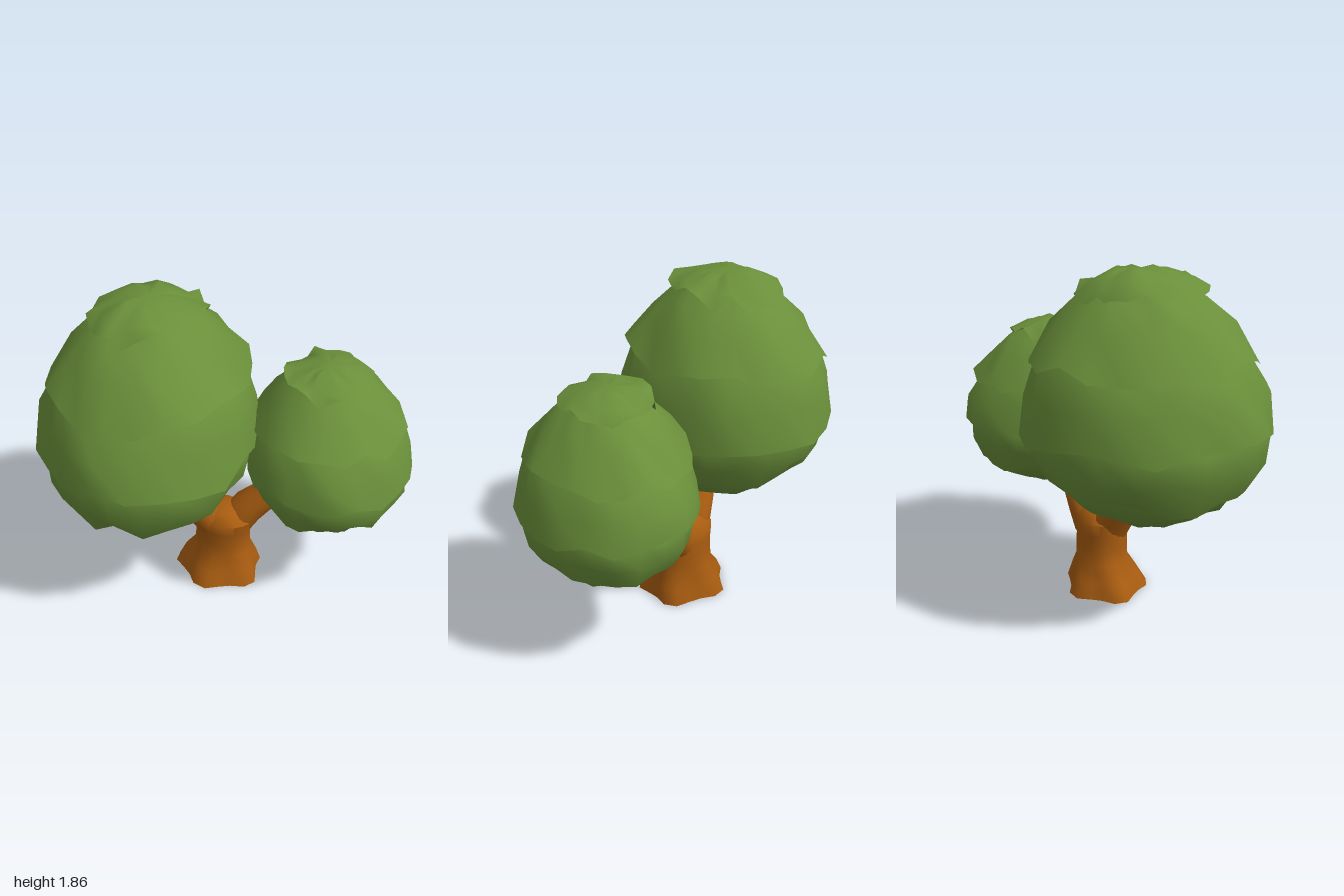
import * as THREE from 'three';
import { mergeVertices, toCreasedNormals } from 'three/addons/utils/BufferGeometryUtils.js';

const leafGreen = new THREE.MeshStandardMaterial({ color: 0x6a8f3a, side: THREE.DoubleSide });
const barkBrown = new THREE.MeshStandardMaterial({ color: 0xa85c10 });
leafGreen.name = 'leafGreen';
barkBrown.name = 'barkBrown';

// Small seeded random generator
function seeded(seed) {
  let s = seed;
  return () => {
    s = (s * 16807) % 2147483647;
    return s / 2147483647;
  };
}

// Skin over closed rings of points, listed from top to bottom
function loft(rings) {
  const n = rings[0].length;
  const index = [];
  for (let i = 0; i < rings.length - 1; i++) {
    for (let j = 0; j < n; j++) {
      const a = i * n + j, b = i * n + (j + 1) % n;
      index.push(a, b, a + n, b, b + n, a + n);
    }
  }
  let geo = new THREE.BufferGeometry();
  geo.setAttribute('position', new THREE.Float32BufferAttribute(rings.flat(2), 3));
  geo.setIndex(index);
  geo = mergeVertices(geo, 1e-5);
  geo.computeVertexNormals();
  return geo;
}

// Overlapping leaf shells: [height, radius] profiles as fractions of the crown size
const shells = {
  topTuft: [[0.99, 0], [0.98, 0.2], [0.91, 0.4], [0.84, 0.51]],
  upperLeaves: [[0.9, 0.3], [0.77, 0.51], [0.58, 0.7], [0.32, 0.9]],
  middleLeaves: [[0.55, 0.62], [0.32, 0.84], [0.05, 0.96], [-0.24, 1.01]],
  lowerLeaves: [[0, 0.86], [-0.25, 0.95], [-0.48, 0.93], [-0.7, 0.79]],
  underLeaves: [[-0.4, 0.84], [-0.68, 0.74], [-0.86, 0.58], [-0.97, 0.36], [-0.93, 0]],
};

function makeCrown(name, center, size, topShift, seed) {
  const crown = new THREE.Group();
  crown.name = name;
  crown.position.set(...center);
  const rand = seeded(seed);
  const sides = 22;
  for (const [part, profile] of Object.entries(shells)) {
    const turn = rand() * Math.PI;
    const hasHem = part !== 'underLeaves';
    const rings = profile.map(([h, r], i) => {
      const hem = hasHem && i === profile.length - 1;
      return Array.from({ length: sides }, (_, j) => {
        const angle = turn + (j / sides) * Math.PI * 2;
        const radius = r * (1 + (rand() - 0.5) * 0.06);
        const bump = r === 0 ? 0 : (rand() - 0.5) * (hem ? 0.17 : 0.05);
        const y = h + bump;
        return [
          size[0] * radius * Math.cos(angle) + topShift[0] * y,
          size[1] * y,
          size[2] * radius * Math.sin(angle) + topShift[1] * y,
        ];
      });
    });
    const mesh = new THREE.Mesh(loft(rings), leafGreen);
    mesh.name = part;
    crown.add(mesh);
  }
  return crown;
}

// Limb from level sections [x, y, z, half width, half depth, root lobe depth]
function makeLimb(name, sections) {
  const sides = 20;
  const rings = sections.map(([x, y, z, rx, rz, lobe = 0]) =>
    Array.from({ length: sides }, (_, j) => {
      const a = (j / sides) * Math.PI * 2;
      const k = 1 - lobe * (1 - Math.cos(5 * a - 2.2));
      return [x + rx * k * Math.cos(a), y, z + rz * k * Math.sin(a)];
    }));
  const mesh = new THREE.Mesh(toCreasedNormals(loft(rings), 1.0), barkBrown);
  mesh.name = name;
  return mesh;
}

export function createModel() {
  const tree = new THREE.Group();
  tree.name = 'tree';

  // Trunk with flared roots
  tree.add(makeLimb('trunk', [
    [-0.03, 0.49, -0.05, 0, 0],
    [-0.03, 0.475, -0.05, 0.1, 0.09],
    [-0.025, 0.42, -0.05, 0.185, 0.145],
    [-0.03, 0.35, -0.05, 0.175, 0.14],
    [-0.035, 0.27, -0.055, 0.165, 0.145],
    [-0.035, 0.18, -0.055, 0.175, 0.15, 0.02],
    [-0.045, 0.09, -0.045, 0.24, 0.2, 0.08],
    [-0.05, 0, -0.035, 0.28, 0.245, 0.1],
    [-0.05, 0, -0.035, 0, 0],
  ]));

  // Two forked branches reaching into the crowns
  tree.add(makeLimb('rightBranch', [
    [-0.38, 0.95, 0.16, 0.06, 0.06],
    [-0.3, 0.75, 0.12, 0.08, 0.075],
    [-0.225, 0.62, 0.08, 0.095, 0.09],
    [-0.175, 0.53, 0.04, 0.105, 0.105],
    [-0.125, 0.43, 0, 0.105, 0.12],
    [-0.09, 0.33, -0.03, 0.095, 0.11],
    [-0.07, 0.22, -0.05, 0.07, 0.08],
  ]));
  tree.add(makeLimb('leftBranch', [
    [0.52, 0.9, -0.25, 0.07, 0.06],
    [0.42, 0.75, -0.21, 0.1, 0.075],
    [0.31, 0.65, -0.175, 0.115, 0.09],
    [0.23, 0.58, -0.15, 0.125, 0.1],
    [0.135, 0.5, -0.125, 0.125, 0.11],
    [0.075, 0.42, -0.1, 0.12, 0.12],
    [0.03, 0.32, -0.08, 0.105, 0.115],
    [0, 0.22, -0.06, 0.08, 0.08],
  ]));

  // Leafy crowns
  tree.add(makeCrown('largeCrown', [-0.39, 1.21, 0.11], [0.6, 0.65, 0.655], [0.01, -0.03], 4711));
  tree.add(makeCrown('smallCrown', [0.53, 0.98, -0.24], [0.46, 0.5, 0.525], [-0.03, 0.02], 1337));
  return tree;
}
